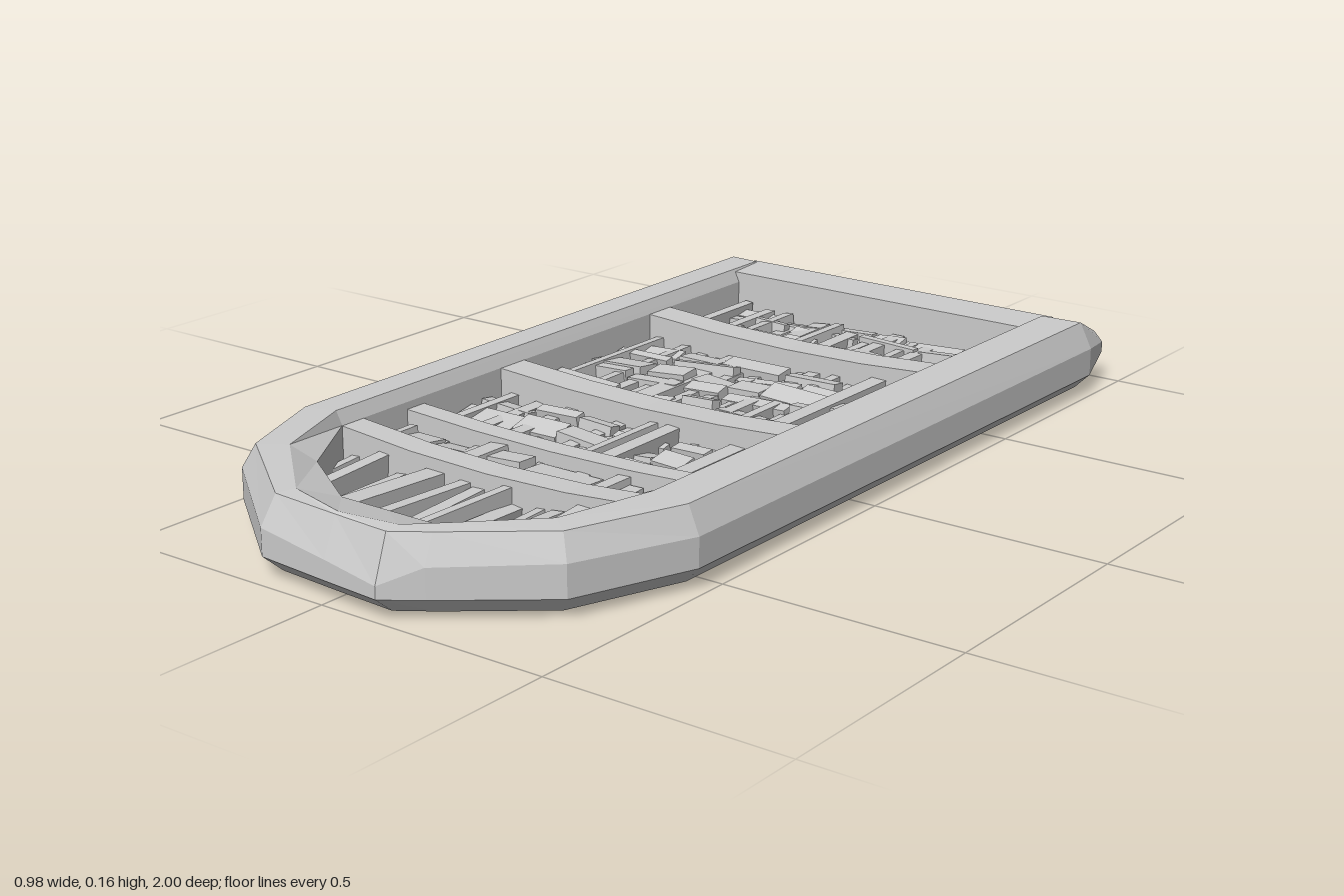
import * as THREE from 'three';

const material = new THREE.MeshStandardMaterial({ color: 0xcccccc, flatShading: true, side: THREE.DoubleSide });

// Plan of the rim from the rear right end round the nose:
// outer x, z, inner x, z, where the flat top ends (0 outer, 1 inner), height of the outer upper edge
const PLAN = [
  [-0.46, -1.0, -0.38, -0.94, 0.85, 0.105], [-0.49, -0.88, -0.38, -0.86, 0.88, 0.105],
  [-0.485, 0.57, -0.38, 0.55, 0.88, 0.105], [-0.41, 0.79, -0.27, 0.73, 0.65, 0.11],
  [-0.17, 0.975, -0.1, 0.84, 0.45, 0.1], [0, 0.99, 0.01, 0.84, 0.25, 0.085],
  [0.13, 1.0, 0.13, 0.84, 0.4, 0.07], [0.2, 0.95, 0.18, 0.81, 0.5, 0.105],
  [0.39, 0.8, 0.29, 0.72, 0.65, 0.11], [0.485, 0.55, 0.36, 0.54, 0.88, 0.105],
  [0.49, -0.88, 0.36, -0.86, 0.88, 0.105], [0.46, -0.99, 0.37, -0.965, 0.85, 0.105],
];
const LAST = PLAN.length - 1;

function seeded(seed) {
  return () => {
    seed = (seed * 16807) % 2147483647;
    return seed / 2147483647;
  };
}

function add(parent, geometry, name) {
  const mesh = new THREE.Mesh(geometry, material);
  mesh.name = name;
  parent.add(mesh);
  return mesh;
}

function rimGeometry() {
  const pos = [], index = [], n = 8;
  PLAN.forEach(([ox, oz, ix, iz, flat, edge], r) => {
    const tip = r === 0 || r === LAST;
    const section = [
      [0, 0.045], [0, edge], [0.2, 0.161], [flat, 0.164], [1, 0.135], [1, 0.02], [0.75, 0.003], [0.25, 0.012],
    ];
    for (const [t, y] of section) {
      pos.push(ox + (ix - ox) * t, tip ? 0.08 + (y - 0.08) * 0.4 : y, oz + (iz - oz) * t);
    }
  });
  for (let r = 0; r < LAST; r++) {
    for (let p = 0; p < n; p++) {
      const q = (p + 1) % n, a = r * n, b = a + n;
      index.push(a + p, b + p, a + q, b + p, b + q, a + q);
    }
  }
  // End caps on the two rear horns
  for (let p = 1; p < n - 1; p++) {
    index.push(0, p, p + 1, LAST * n, LAST * n + p + 1, LAST * n + p);
  }
  const g = new THREE.BufferGeometry();
  g.setAttribute('position', new THREE.Float32BufferAttribute(pos, 3));
  g.setIndex(index);
  const faceted = g.toNonIndexed();
  faceted.computeVertexNormals();
  return faceted;
}

// Front end of the opening at a given x
function noseLimit(x) {
  for (let i = 2; i < LAST - 2; i++) {
    const [, , x0, z0] = PLAN[i], [, , x1, z1] = PLAN[i + 1];
    if (x >= x0 && x <= x1) return z0 + ((z1 - z0) * (x - x0)) / (x1 - x0);
  }
  return 0.54;
}

// A bar across the opening, sagging slightly in the middle
function crossbar(z, depth, top, sag) {
  const g = new THREE.BoxGeometry(0.76, 0.1, depth, 4, 1, 1);
  const p = g.attributes.position;
  for (let i = 0; i < p.count; i++) {
    const x = p.getX(i);
    p.setY(i, p.getY(i) - sag * (1 - (x / 0.38) ** 2));
  }
  g.translate(-0.01, top - 0.05, z);
  g.computeVertexNormals();
  return g;
}

export function createModel() {
  const model = new THREE.Group();
  model.name = 'framedLattice';
  const rand = seeded(417);
  const jitter = (a) => (rand() - 0.5) * a;

  add(model, rimGeometry(), 'rim');

  // Rear bar between the horns
  const rear = new THREE.Shape([
    [-0.775, 0.02], [-0.775, 0.158], [-0.875, 0.162], [-0.93, 0.12], [-0.92, 0.055], [-0.86, 0.012], [-0.82, 0.003],
  ].map(([z, y]) => new THREE.Vector2(z, y)));
  const rearGeometry = new THREE.ExtrudeGeometry(rear, { depth: 0.8, bevelEnabled: false });
  rearGeometry.rotateY(-Math.PI / 2).translate(0.395, 0, 0);
  add(model, rearGeometry, 'rearBar');

  // Thin base sheet, set a little above the rim's lower lip
  const outline = PLAN.slice(1, -1).map(([ox, oz, ix, iz]) =>
    new THREE.Vector2(ox + (ix - ox) * 0.85, Math.max(oz + (iz - oz) * 0.85, -0.8)));
  const base = new THREE.ExtrudeGeometry(new THREE.Shape(outline), { depth: 0.008, bevelEnabled: false });
  base.rotateX(Math.PI / 2).translate(0, 0.022, 0);
  add(model, base, 'baseSheet');

  // Main crossbars: z, depth, top height, sag
  [[-0.47, 0.075, 0.135, 0.015], [0.04, 0.075, 0.135, 0.015], [0.34, 0.05, 0.12, 0.012], [0.52, 0.06, 0.135, 0.02]]
    .forEach(([z, d, top, sag]) => add(model, crossbar(z, d, top, sag), 'crossbar'));

  // Lengthwise slats, broken at each bay and uneven in height
  const slats = new THREE.Group();
  slats.name = 'lengthwiseSlats';
  model.add(slats);
  const columns = [
    [-0.345, 0.02], [-0.275, 0.025], [-0.23, 0.025], [-0.185, 0.03], [-0.135, 0.045], [-0.07, 0.025], [-0.025, 0.03],
    [0.03, 0.02], [0.07, 0.03], [0.125, 0.02], [0.17, 0.03], [0.23, 0.035], [0.285, 0.02], [0.335, 0.025],
  ];
  const bays = [[-0.77, -0.47], [-0.47, 0.04], [0.04, 0.34], [0.34, 0.52], [0.52, 1]];
  for (const [x, w] of columns) {
    for (const [z0, z1] of bays) {
      const nose = z0 > 0.5;
      const end = Math.min(z1, noseLimit(x) + 0.02);
      const start = z0 + rand() * 0.04;
      if (end - start < 0.05) continue;
      const h = 0.045 + rand() * 0.035;
      const slat = add(slats, new THREE.BoxGeometry(w, h, end - start), 'slat');
      slat.position.set(x + jitter(0.012), 0.02 + h / 2, (start + end) / 2);
      slat.rotation.set(nose ? jitter(0.1) : 0, jitter(nose ? 0.12 : 0.03), jitter(0.3));
    }
  }

  // Crosswise strips woven through the slats in short lengths: z, width
  const strips = new THREE.Group();
  strips.name = 'crosswiseStrips';
  model.add(strips);
  const rows = [
    [-0.735, 0.03], [-0.69, 0.025], [-0.59, 0.05], [-0.37, 0.04], [-0.325, 0.025], [-0.25, 0.055], [-0.2, 0.03],
    [-0.11, 0.025], [-0.04, 0.035], [0.13, 0.03], [0.2, 0.055], [0.295, 0.03], [0.4, 0.055], [0.45, 0.03],
  ];
  for (const [z, width] of rows) {
    let x = -0.375;
    while (x < 0.33) {
      const length = Math.min(0.07 + rand() * 0.09, 0.365 - x);
      const strip = add(strips, new THREE.BoxGeometry(length, 0.03, width + jitter(0.015)), 'strip');
      strip.position.set(x + length / 2, 0.06 + rand() * 0.02, z + jitter(0.01));
      strip.rotation.set(jitter(0.5), jitter(0.1), jitter(0.2));
      x += length + rand() * 0.025;
    }
  }
  return model;
}
